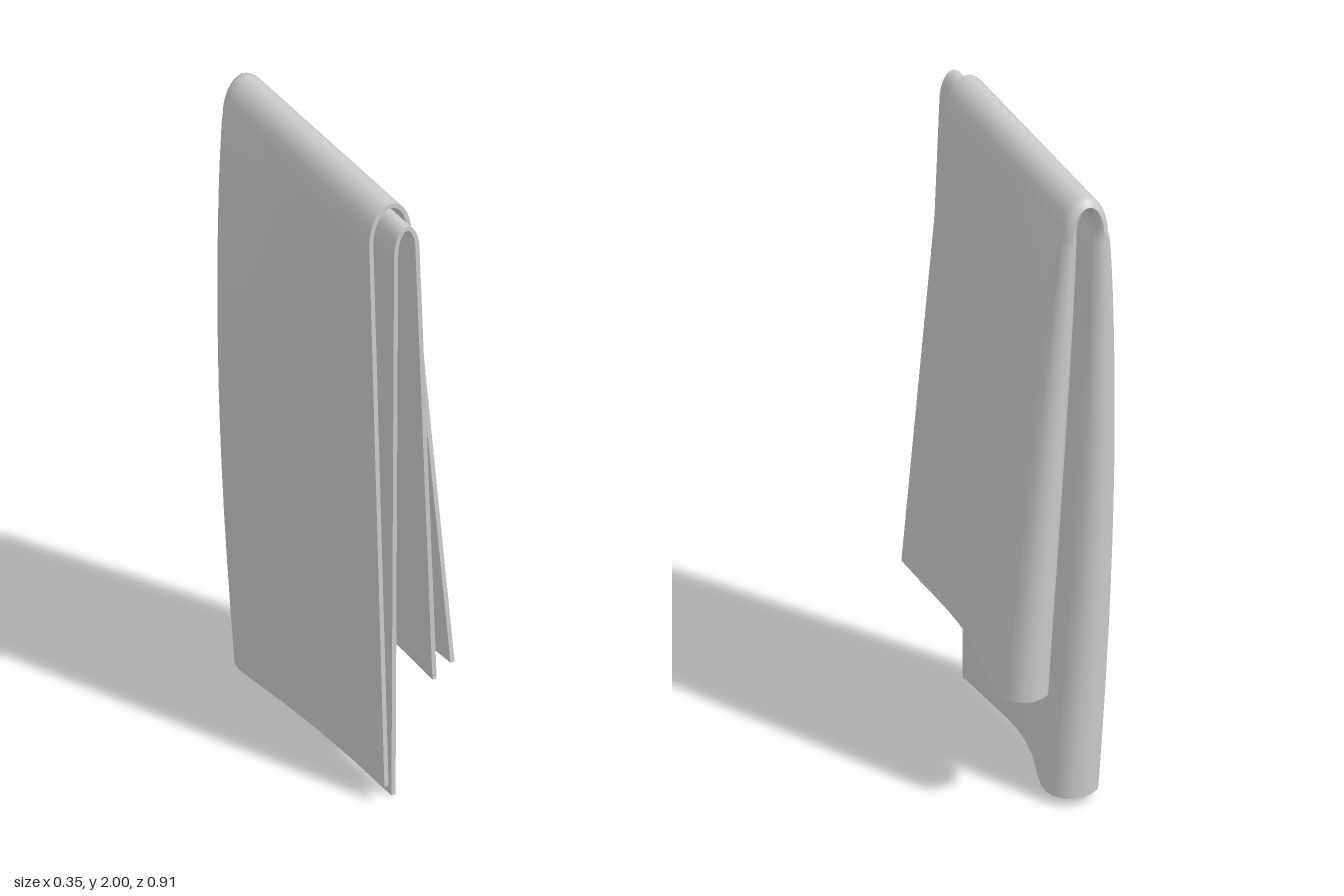
import * as THREE from 'three';
import { toCreasedNormals } from 'three/addons/utils/BufferGeometryUtils.js';

const lerp = THREE.MathUtils.lerp;
const SHEET = 0.007; // half the cloth thickness
const GAP = 0.014;   // half the distance between the two layers

// Half cross-section from the back fold to the front edge: [position, layer gap, bulge]
const HALF = [
  [0, 0, 0], [0.008, 0.7, 0.32], [0.025, 1, 0.65], [0.055, 1, 0.9], [0.09, 1, 1], [0.13, 1, 0.96],
  [0.19, 1, 0.83], [0.27, 1, 0.6], [0.36, 1, 0.36], [0.46, 1, 0.16], [0.56, 1, 0.04], [0.66, 1, 0],
  [0.78, 1, 0], [0.9, 1, 0], [1, 1, 0],
];

// Stations along the drape: short leg upwards, over the arch, long leg downwards
function drapeStations() {
  const list = [];
  const legSteps = 16, archSteps = 14;
  for (let i = legSteps; i > 0; i--) {
    const f = (i / legSteps) ** 1.5;
    list.push({
      f, x: lerp(-0.015, 0.08, f), y: lerp(1.88, 0.38, f), nx: 1, ny: 0,
      shift: 0.015 * f, half: 0.021 + 0.054 * f ** 0.5,
    });
  }
  for (let i = 0; i <= archSteps; i++) {
    const a = (i / archSteps) * Math.PI, c = Math.cos(a), s = Math.sin(a);
    list.push({ f: 0, x: -0.065 + 0.05 * c, y: 1.88 + 0.099 * s, nx: c, ny: s, shift: 0, half: 0.021 });
  }
  for (let i = 1; i <= legSteps; i++) {
    const f = (i / legSteps) ** 1.5;
    list.push({
      f, x: lerp(-0.115, -0.1, f), y: lerp(1.88, 0.03, f), nx: -1, ny: 0,
      shift: 0.015 * Math.sin(Math.PI * f) - 0.04 * f * f, half: 0.021 + 0.059 * f ** 0.4,
    });
  }
  return list;
}

// Middle line of the folded cloth at one station: outer front edge, back fold, inner front edge
function middleLine({ f, shift, half }) {
  const back = lerp(-0.445, -0.418, f);
  const point = ([q, gap, bulge], side) => {
    const front = side > 0 ? lerp(0.365, 0.435, f) : lerp(0.455, 0.405, f);
    const spread = GAP * (gap + 0.5 * f * q * q) + (half - GAP - SHEET) * bulge;
    const lean = shift * (q < 0.09 ? 1 : bulge);
    return { z: lerp(back, front, q), n: lean + side * spread, drop: side * 0.03 * f * q };
  };
  const outer = HALF.slice(1).reverse().map((h) => point(h, 1));
  return [...outer, ...HALF.map((h) => point(h, -1))];
}

function clothGeometry() {
  const stations = drapeStations();
  const positions = [], index = [];
  let count = 0;
  for (const st of stations) {
    const line = middleLine(st);
    count = line.length;
    const ring = [];
    for (const side of [1, -1]) {
      const face = line.map((p, j) => {
        const a = line[Math.max(j - 1, 0)], b = line[Math.min(j + 1, count - 1)];
        const dz = b.z - a.z, dn = b.n - a.n, len = Math.hypot(dz, dn);
        return { z: p.z + (side * SHEET * dn) / len, n: p.n - (side * SHEET * dz) / len, drop: p.drop };
      });
      ring.push(...(side > 0 ? face : face.reverse()));
    }
    for (const p of ring) positions.push(st.x + st.nx * p.n, st.y + st.ny * p.n + p.drop, p.z);
  }
  // Cloth faces and the front edges
  const R = count * 2;
  for (let i = 0; i < stations.length - 1; i++) {
    for (let j = 0; j < R; j++) {
      const k = (j + 1) % R, a = i * R + j, b = i * R + k;
      index.push(a, b, a + R, b, b + R, a + R);
    }
  }
  // Hems at both ends
  const last = (stations.length - 1) * R;
  for (let j = 0; j < count - 1; j++) {
    const p = j, q = j + 1, m = R - 1 - j, n = R - 2 - j;
    index.push(p, m, q, q, m, n);
    index.push(last + p, last + q, last + m, last + q, last + n, last + m);
  }
  const geometry = new THREE.BufferGeometry();
  geometry.setAttribute('position', new THREE.Float32BufferAttribute(positions, 3));
  geometry.setIndex(index);
  return toCreasedNormals(geometry, 1.1);
}

export function createModel() {
  const group = new THREE.Group();
  group.name = 'drapedTowel';
  const material = new THREE.MeshStandardMaterial({ color: 0xcccccc, side: THREE.DoubleSide });
  const towel = new THREE.Mesh(clothGeometry(), material);
  towel.name = 'foldedCloth';
  group.add(towel);
  return group;
}
